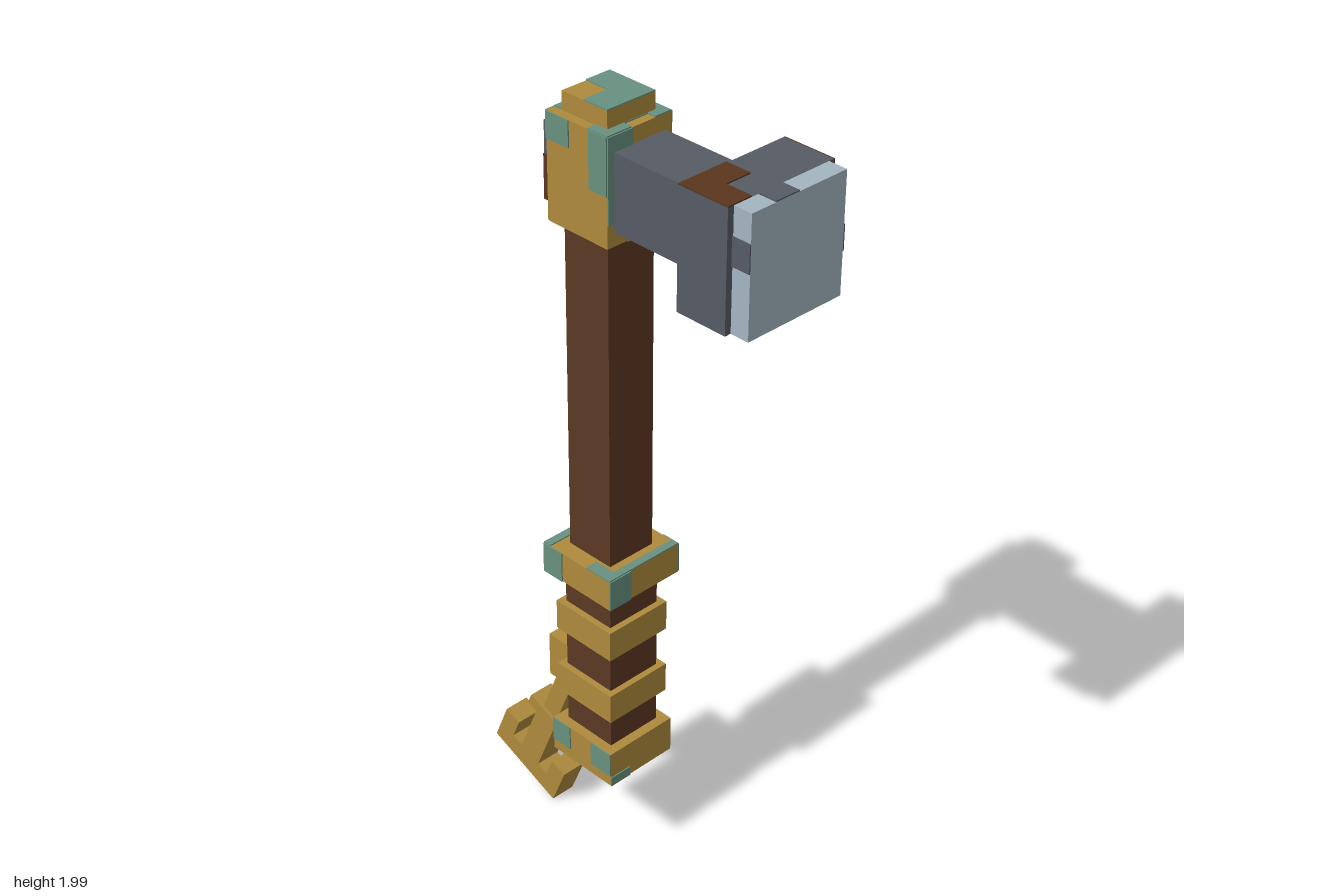
import * as THREE from 'three';

const mat = (name, color) => {
  const m = new THREE.MeshStandardMaterial({ color });
  m.name = name;
  return m;
};

export function createModel() {
  const brass = mat('brass', 0xae8a3c);
  const verdigris = mat('verdigris', 0x67917f);
  const wood = mat('wood', 0x5b3822);
  const iron = mat('iron', 0x565b64);
  const steel = mat('polished steel', 0xa3b5c1);
  const rust = mat('rust', 0x5a351e);

  const model = new THREE.Group();
  model.name = 'warHammer';

  // Box between two corners; its limits are kept for painting
  const box = (name, material, min, max, parent = model) => {
    const size = max.map((v, i) => v - min[i]);
    const mesh = new THREE.Mesh(new THREE.BoxGeometry(...size), material);
    mesh.position.set(...max.map((v, i) => (v + min[i]) / 2));
    mesh.name = name;
    parent.add(mesh);
    return { name, min, max };
  };
  // Thin patches on a face ('+x', '-z' ...): each [u0, u1, v0, v1] in the other two axes
  const paint = (part, face, material, ...rects) => {
    const n = 'xyz'.indexOf(face[1]);
    const [u, v] = [0, 1, 2].filter((i) => i !== n);
    for (const [u0, u1, v0, v1] of rects) {
      const a = [], b = [];
      a[u] = u0; b[u] = u1; a[v] = v0; b[v] = v1;
      a[n] = face[0] === '+' ? part.max[n] : part.min[n] - 0.003;
      b[n] = a[n] + 0.003;
      box(`${part.name}Patch`, material, a, b);
    }
  };
  // Square band centred on the handle
  const CX = -0.068;
  const band = (name, material, half, y0, y1) =>
    box(name, material, [CX - half, y0, -half], [CX + half, y1, half]);

  // Handle
  band('shaft', wood, 0.066, 0.8, 1.75);
  band('grip', wood, 0.074, 0.3, 0.85);
  const guard = band('guardRing', brass, 0.108, 0.8, 0.878);
  band('upperGripRing', brass, 0.09, 0.635, 0.714);
  band('lowerGripRing', brass, 0.09, 0.452, 0.53);
  const pommel = band('pommel', brass, 0.099, 0.27, 0.365);
  const collar = band('collar', brass, 0.09, 1.705, 1.957);
  const cap = band('cap', brass, 0.067, 1.957, 2);
  box('stud', brass, [-0.1, 1.8, -0.117], [-0.035, 1.865, -0.09]);

  // Verdigris on the brass
  paint(guard, '+z', verdigris, [-0.176, -0.115, 0.8, 0.878]);
  paint(guard, '+x', verdigris, [0.8, 0.878, 0.043, 0.108]);
  paint(guard, '-z', verdigris, [-0.01, 0.04, 0.8, 0.878]);
  paint(guard, '-x', verdigris, [0.8, 0.878, -0.108, 0.0]);
  paint(guard, '+y', verdigris, [-0.176, -0.155, -0.108, 0.108],
    [0.02, 0.04, -0.108, 0.108], [-0.035, 0.02, 0.076, 0.108]);
  paint(pommel, '+z', verdigris, [-0.167, -0.108, 0.3, 0.365], [-0.035, 0.031, 0.3, 0.365]);
  paint(pommel, '+x', verdigris, [0.27, 0.295, 0.038, 0.099]);
  paint(pommel, '-z', verdigris, [-0.1, -0.04, 0.27, 0.295]);
  paint(pommel, '-x', verdigris, [0.27, 0.3, -0.05, 0.02]);
  paint(pommel, '-y', verdigris, [-0.167, -0.12, -0.05, 0.05]);
  paint(collar, '+z', verdigris, [-0.158, -0.09, 1.895, 1.957],
    [-0.03, 0.022, 1.895, 1.957], [-0.03, 0.022, 1.825, 1.895]);
  paint(collar, '+x', verdigris, [1.92, 1.957, 0.02, 0.09], [1.76, 1.92, 0.072, 0.09]);
  paint(collar, '-z', verdigris, [-0.03, 0.022, 1.87, 1.957], [-0.158, -0.07, 1.705, 1.755],
    [-0.158, -0.125, 1.88, 1.957]);
  paint(collar, '-x', verdigris, [1.705, 1.957, -0.09, -0.055], [1.705, 1.74, -0.055, 0.02],
    [1.92, 1.957, -0.02, 0.09]);
  paint(collar, '+y', verdigris, [-0.158, 0.0, -0.09, 0.067], [0.0, 0.022, -0.09, -0.045],
    [0.0, 0.022, 0.022, 0.09], [-0.035, 0.0, 0.067, 0.09]);
  paint(collar, '-y', verdigris, [-0.03, 0.022, -0.09, 0.03]);
  paint(cap, '+y', verdigris, [-0.135, -0.001, -0.067, 0.0], [-0.07, -0.001, 0.0, 0.067]);

  // Hammer head
  const arm = box('headArm', iron, [-0.185, 1.74, -0.074], [0.3, 1.92, 0.073]);
  const head = box('headBlock', iron, [0.28, 1.69, -0.148], [0.413, 1.97, 0.147]);
  const face = box('strikingFace', steel, [0.413, 1.69, -0.134], [0.46, 1.97, 0.131]);

  // Rust and dark wear on the head
  paint(arm, '+z', rust, [-0.185, -0.158, 1.74, 1.845]);
  paint(arm, '-z', rust, [0.18, 0.28, 1.78, 1.88], [0.1, 0.2, 1.74, 1.78]);
  paint(head, '+y', rust, [0.28, 0.345, 0.015, 0.147], [0.345, 0.413, 0.082, 0.147]);
  paint(head, '-z', rust, [0.28, 0.413, 1.88, 1.97], [0.345, 0.413, 1.75, 1.88]);
  paint(face, '+y', iron, [0.413, 0.46, 0, 0.065]);
  paint(face, '+z', iron, [0.413, 0.46, 1.84, 1.905]);
  paint(face, '-z', iron, [0.413, 0.46, 1.79, 1.85]);

  // Charm hanging from the lower ring
  box('charmMount', brass, [-0.235, 0.43, -0.049], [-0.158, 0.55, 0.047]);
  const charm = new THREE.Group();
  charm.name = 'charm';
  charm.position.set(-0.357, 0.053, 0);
  charm.rotation.z = -Math.PI / 8;
  model.add(charm);
  box('charmStem', brass, [-0.025, 0.22, -0.025], [0.025, 0.43, 0.025], charm);
  box('charmCrossbar', brass, [-0.065, 0.212, -0.033], [0.065, 0.243, 0.033], charm);

  // Three-pronged lower end, drawn as a mirrored outline
  const half = [[0.114, 0], [0.114, 0.114], [0.066, 0.114], [0.066, 0.055], [0.033, 0.055], [0.033, 0.215]];
  const outline = [...half, ...half.map(([x, y]) => [-x, y]).reverse()];
  const shape = new THREE.Shape(outline.map(([x, y]) => new THREE.Vector2(x, y)));
  const prongs = new THREE.Mesh(
    new THREE.ExtrudeGeometry(shape, { depth: 0.066, bevelEnabled: false }).translate(0, 0, -0.033), brass);
  prongs.name = 'charmProngs';
  charm.add(prongs);

  return model;
}
